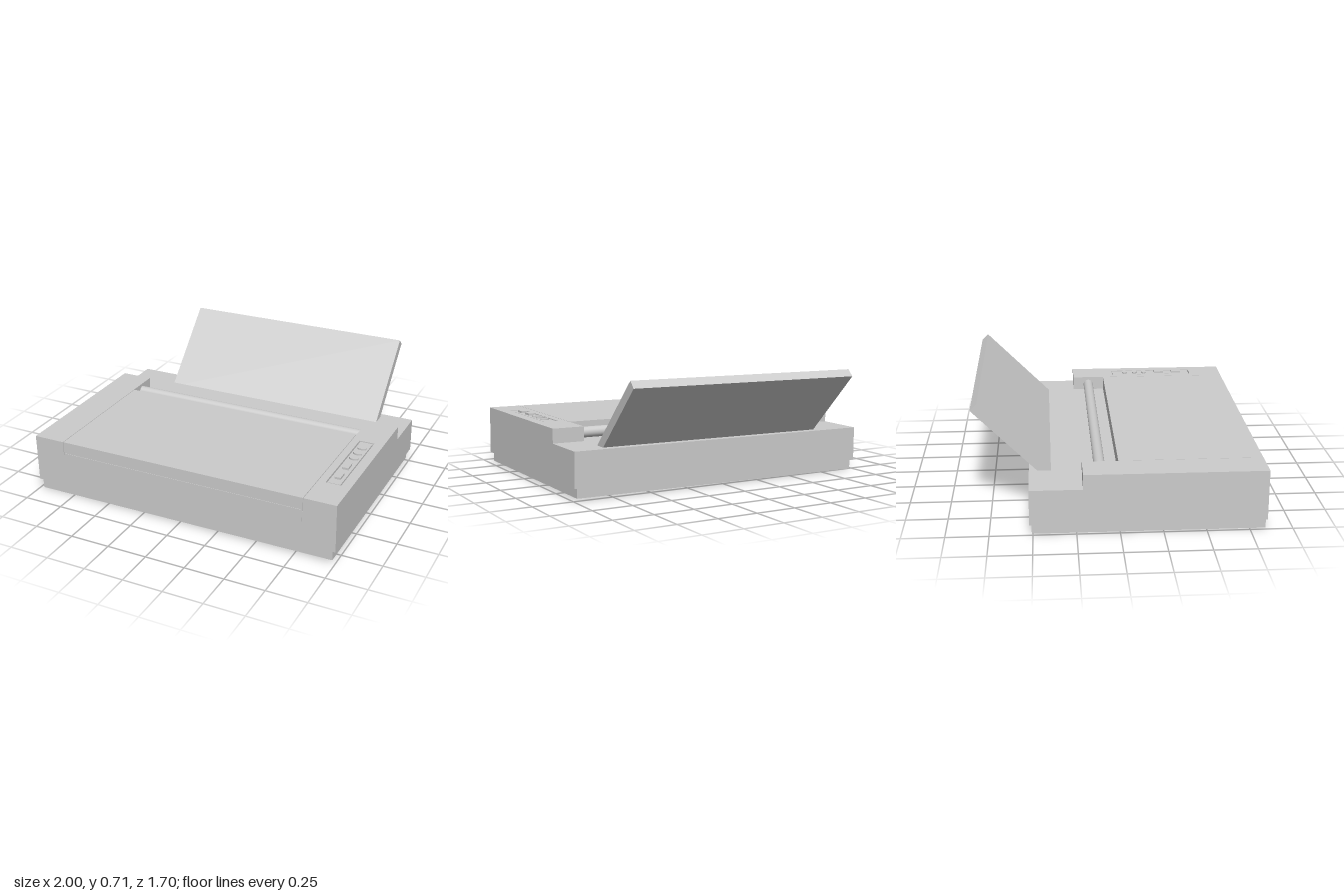
import * as THREE from 'three';

const mat = new THREE.MeshStandardMaterial({ color: 0xcccccc });

function add(parent, name, geo, x = 0, y = 0, z = 0) {
  const m = new THREE.Mesh(geo, mat);
  m.name = name;
  m.position.set(x, y, z);
  parent.add(m);
  return m;
}

// box given by its limits on each axis
function box(parent, name, [x0, x1], [y0, y1], [z0, z1]) {
  return add(parent, name, new THREE.BoxGeometry(x1 - x0, y1 - y0, z1 - z0),
    (x0 + x1) / 2, (y0 + y1) / 2, (z0 + z1) / 2);
}

function rectPoints(x0, x1, y0, y1) {
  return [[x0, y0], [x1, y0], [x1, y1], [x0, y1]].map(p => new THREE.Vector2(...p));
}

// side profile in (z, y), extruded along x
function profileAlongX(points, x0, x1) {
  const shape = new THREE.Shape(points.map(([z, y]) => new THREE.Vector2(-z, y)));
  const geo = new THREE.ExtrudeGeometry(shape, { depth: x1 - x0, bevelEnabled: false });
  return geo.rotateY(Math.PI / 2).translate(x0, 0, 0);
}

export function createModel() {
  const group = new THREE.Group();
  const printer = new THREE.Group();
  printer.name = 'printer';
  group.add(printer);

  const BOTTOM = 0.061, DECK = 0.275, TOP = 0.364;
  const FRONT = 0.85, BACK = -0.52, STEP = -0.212;

  // base plinth and lower casing
  box(printer, 'base', [-0.98, 0.98], [0, BOTTOM], [-0.507, 0.843]);
  box(printer, 'lowerCasing', [-1, 1], [BOTTOM, DECK], [BACK, FRONT]);

  // raised sides flanking the roller and lid
  box(printer, 'rightSide', [-1, -0.799], [DECK, TOP], [STEP, FRONT]);
  box(printer, 'leftSide', [0.799, 1], [DECK, TOP - 0.014], [STEP, FRONT]);

  // top of the control side, with a pocket for the buttons
  const plate = new THREE.Shape(rectPoints(0.799, 1, -FRONT, -STEP));
  plate.holes.push(new THREE.Path(rectPoints(0.845, 0.94, -0.63, -0.065)));
  const plateGeo = new THREE.ExtrudeGeometry(plate, { depth: 0.014, bevelEnabled: false });
  plateGeo.rotateX(-Math.PI / 2);
  add(printer, 'controlSurround', plateGeo, 0, TOP - 0.014, 0);

  // control panel inset
  box(printer, 'controlPanel', [0.853, 0.932], [TOP - 0.014, TOP - 0.002], [0.073, 0.622]);
  for (const z of [0.16, 0.232, 0.3]) {
    const b = add(printer, 'indicator', new THREE.CylinderGeometry(1, 1, 0.012, 24), 0.893, TOP + 0.002, z);
    b.scale.set(0.028, 1, 0.016);
  }
  for (const z of [0.41, 0.535]) {
    box(printer, 'button', [0.874, 0.912], [TOP - 0.006, TOP + 0.011], [z - 0.033, z + 0.033]);
  }

  // lid, with a hairline gap at each side
  box(printer, 'lid', [-0.796, 0.796], [DECK, TOP], [0, FRONT - 0.001]);

  // output flap on the front
  box(printer, 'outputFlap', [-0.79, 0.79], [0.212, 0.288], [FRONT - 0.01, FRONT + 0.002]);

  // paper roller
  const roller = add(printer, 'roller', new THREE.CylinderGeometry(0.033, 0.033, 1.6, 32), 0, 0.312, -0.107);
  roller.rotation.z = Math.PI / 2;

  // sloping paper support
  const trayProfile = [[-0.37, 0.255], [-0.81, 0.695], [-0.85, 0.655], [-0.45, 0.255]];
  add(printer, 'paperSupport', profileAlongX(trayProfile, -0.705, 0.797));

  // the whole machine leans slightly to one side
  printer.rotation.z = 0.0086;
  printer.position.y = 0.0084;
  return group;
}
